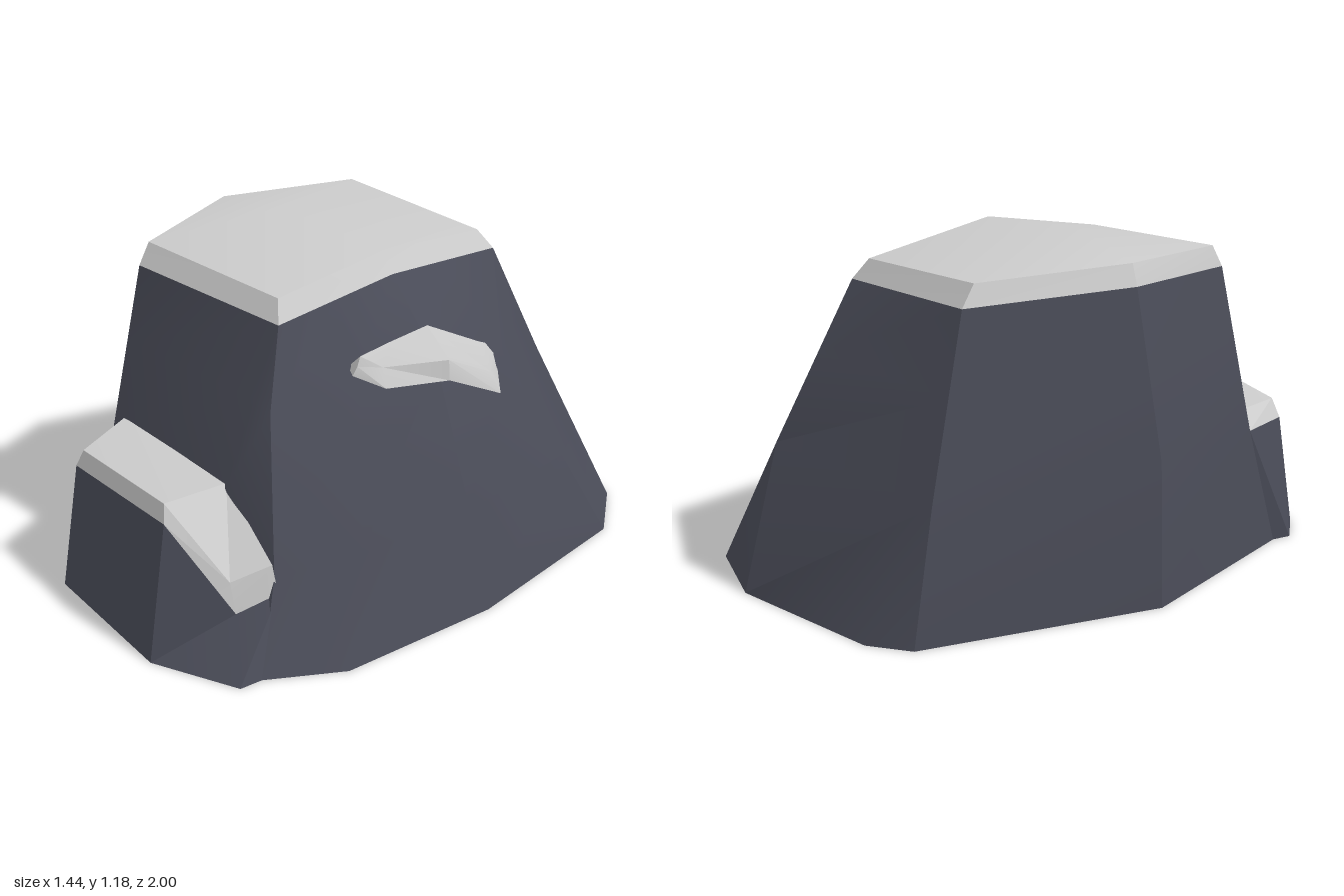
import * as THREE from 'three';
import { toCreasedNormals } from 'three/addons/utils/BufferGeometryUtils.js';

const ROCK = 0x4a4c58;
const SNOW = 0xcccccc;
const V = (p) => new THREE.Vector3(...p);
const lerp = (a, b, t) => a.map((v, i) => v + (b[i] - v) * t);

// Mesh from polygons (counter-clockwise corners); collapsed triangles are dropped
function polyMesh(name, polygons, color, crease) {
  const pos = [];
  for (const p of polygons) {
    for (let i = 1; i < p.length - 1; i++) {
      const tri = new THREE.Triangle(V(p[0]), V(p[i]), V(p[i + 1]));
      if (tri.getArea() > 1e-6) pos.push(...p[0], ...p[i], ...p[i + 1]);
    }
  }
  let geo = new THREE.BufferGeometry();
  geo.setAttribute('position', new THREE.Float32BufferAttribute(pos, 3));
  geo.computeVertexNormals();
  geo = toCreasedNormals(geo, crease);
  const mesh = new THREE.Mesh(geo, new THREE.MeshStandardMaterial({ color }));
  mesh.name = name;
  return mesh;
}

// Quads between two closed or open rings of equal length
function band(top, bottom, closed = true) {
  const out = [];
  const n = top.length;
  for (let i = 0; i < (closed ? n : n - 1); i++) {
    const k = (i + 1) % n;
    out.push([top[i], top[k], bottom[k], bottom[i]]);
  }
  return out;
}

export function createModel() {
  const group = new THREE.Group();

  // Rim corners of the summit
  const F = [-0.62, 1.06, 0.11], A = [-0.55, 1.04, -0.46], B = [0.11, 1.0, -0.55];
  const C = [0.25, 1.07, 0.0], D = [0.25, 1.0, 0.45], E = [-0.4, 1.03, 0.57];

  // Rock columns: rim, mid, foot and an optional bulge between rim and mid
  const columns = [
    [F, [-0.71, 0.5, 0.16], [-0.72, 0, 0.17]],
    [A, [-0.62, 0.45, -0.6], [-0.65, 0, -0.68]],
    [A, [-0.62, 0.45, -0.6], [-0.54, 0, -0.8]],
    [B, [0.01, 0.51, -0.87], [0.01, 0, -1]],
    [B, [0.3, 0.27, -0.8], [0.34, 0, -0.96], [0.17, 0.75, -0.63]],
    [lerp(B, C, 0.5), [0.46, 0.32, -0.6], [0.53, 0, -0.76], [0.35, 0.72, -0.4]],
    [C, [0.61, 0.34, -0.05], [0.7, 0, -0.07], [0.46, 0.83, -0.02]],
    [lerp(C, D, 0.5), [0.6, 0.32, 0.38], [0.72, 0, 0.52], [0.41, 0.82, 0.25]],
    [D, [0.5, 0.28, 0.65], [0.6, 0, 0.77], [0.33, 0.75, 0.54]],
    [D, [0.26, 0.5, 0.67], [0.3, 0, 0.75]],
    [E, [-0.43, 0.44, 0.69], [-0.4, 0, 0.83]],
  ];
  const rim = columns.map((c) => c[0]);
  const mid = columns.map((c) => c[1]);
  const foot = columns.map((c) => c[2]);
  const bulge = columns.map((c) => c[3] || lerp(c[0], c[1], 0.45));
  group.add(polyMesh('rockBody', [
    ...band(rim, bulge), ...band(bulge, mid), ...band(mid, foot),
  ], ROCK, 0.5));

  // Summit cap: bevelled skirt and a gently domed top
  const capLow = [F, A, B, C, D, E];
  const capHigh = [
    [-0.59, 1.13, 0.11], [-0.53, 1.11, -0.41], [0.08, 1.07, -0.5],
    [0.205, 1.14, 0], [0.205, 1.07, 0.42], [-0.4, 1.105, 0.53],
  ];
  const peak = [-0.25, 1.18, 0.1];
  group.add(polyMesh('summitCap', [
    ...band(capHigh, capLow),
    ...capHigh.map((p, i) => [peak, capHigh[(i + 1) % 6], p]),
  ], SNOW, 0.5));

  // Front ledge block
  const q = [
    [-0.43, 0.44, 0.69], [-0.3, 0.42, 0.905], [0.27, 0.45, 0.905],
    [0.46, 0.17, 0.77], [0.52, 0.23, 0.65],
  ];
  const b = [
    [-0.4, 0, 0.83], [-0.4, 0, 0.9], [-0.28, 0, 0.99],
    [0.31, 0, 1], [0.6, 0, 0.85], [0.6, 0, 0.77],
  ];
  group.add(polyMesh('ledgeRock', [
    [q[0], b[0], b[1], q[1]], [q[1], b[1], b[2]], [q[1], b[2], b[3], q[2]],
    [q[2], b[3], q[3]], [q[3], b[3], b[4]], [q[3], b[4], q[4]], [q[4], b[4], b[5]],
  ], ROCK, 0.2));

  // Ledge cap: flat top that folds down the slope on the left
  const p = [
    [-0.38, 0.5, 0.67], [-0.27, 0.485, 0.89], [0.25, 0.51, 0.89],
    [0.25, 0.51, 0.66], [0.43, 0.27, 0.77], [0.49, 0.32, 0.65],
  ];
  group.add(polyMesh('ledgeCap', [
    [p[0], p[1], p[2], p[3]], [p[3], p[2], p[4]], [p[3], p[4], p[5]],
    ...band(q, [p[0], p[1], p[2], p[4], p[5]], false).map((f) => [...f].reverse()).map((f) => f.reverse()),
  ], SNOW, 0.2));

  // Side patch: cross-sections of crest, outer top, outer bottom, buried back
  const s = [
    [[0.41, 0.9, 0.25], [0.415, 0.87, 0.265], [0.41, 0.84, 0.28], [0.36, 0.85, 0.26]],
    [[0.41, 0.92, 0.13], [0.45, 0.86, 0.19], [0.48, 0.8, 0.2], [0.36, 0.85, 0.15]],
    [[0.42, 0.945, -0.01], [0.51, 0.85, -0.03], [0.515, 0.78, -0.03], [0.38, 0.85, -0.02]],
    [[0.36, 0.8, -0.28], [0.44, 0.72, -0.27], [0.46, 0.64, -0.3], [0.33, 0.68, -0.29]],
    [[0.34, 0.77, -0.34], [0.36, 0.74, -0.35], [0.37, 0.69, -0.36], [0.31, 0.7, -0.35]],
  ];
  const patch = [[...s[0]].reverse(), s[4]];
  for (let i = 0; i < 4; i++) patch.push(...band(s[i], s[i + 1]));
  group.add(polyMesh('sidePatch', patch, SNOW, 0.4));

  // Underside
  const outline = [...foot.slice(0, 8), ...[...b].reverse()];
  group.add(polyMesh('underside', outline.map((v, i) => (
    [[0, 0, 0], v, outline[(i + 1) % outline.length]]
  )), SNOW, 0.2));

  return group;
}
